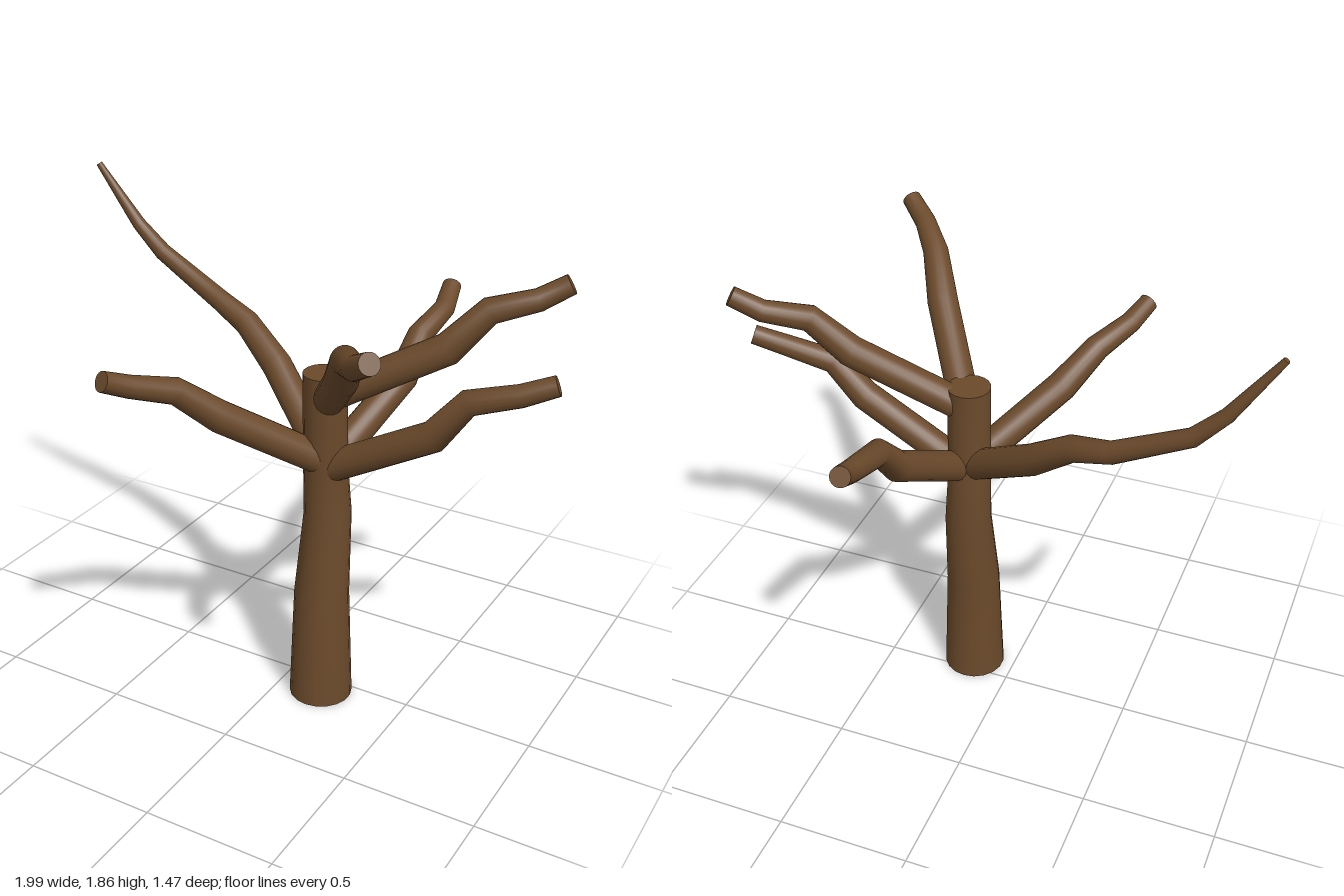
import * as THREE from 'three';

const SIDES = 18;
const bark = new THREE.MeshStandardMaterial({ color: 0x6b4a2b });

// Tapered limb through points [x, y, z, radius], with flat end caps.
function limb(name, points, level = false) {
  const centres = points.map((p) => new THREE.Vector3(p[0], p[1], p[2]));
  const last = points.length - 1;
  const pos = [];
  const index = [];
  const rings = [];
  const side = new THREE.Vector3(0, 0, 1);

  centres.forEach((c, i) => {
    // Each ring lies in the plane that halves the bend at its joint
    const before = c.clone().sub(centres[Math.max(i - 1, 0)]).normalize();
    const after = centres[Math.min(i + 1, last)].clone().sub(c).normalize();
    const dir = level ? new THREE.Vector3(0, 1, 0) : before.add(after).normalize();
    side.addScaledVector(dir, -side.dot(dir)).normalize();
    const up = dir.clone().cross(side);
    const ring = [];
    for (let s = 0; s < SIDES; s++) {
      const a = (s / SIDES) * Math.PI * 2;
      ring.push(c.clone()
        .addScaledVector(side, Math.cos(a) * points[i][3])
        .addScaledVector(up, Math.sin(a) * points[i][3]));
    }
    rings.push(ring);
    ring.forEach((v) => pos.push(v.x, v.y, v.z));
  });

  // Bark between rings
  for (let i = 0; i < last; i++) {
    for (let s = 0; s < SIDES; s++) {
      const t = (s + 1) % SIDES;
      const a = i * SIDES + s, b = i * SIDES + t;
      index.push(a, b, b + SIDES, a, b + SIDES, a + SIDES);
    }
  }

  // Caps have their own vertices, so their edges stay sharp
  [0, last].forEach((i) => {
    const base = pos.length / 3;
    [centres[i], ...rings[i]].forEach((v) => pos.push(v.x, v.y, v.z));
    for (let s = 0; s < SIDES; s++) {
      const a = base + 1 + s, b = base + 1 + ((s + 1) % SIDES);
      if (i === 0) index.push(base, b, a);
      else index.push(base, a, b);
    }
  });

  const geometry = new THREE.BufferGeometry();
  geometry.setAttribute('position', new THREE.Float32BufferAttribute(pos, 3));
  geometry.setIndex(index);
  geometry.computeVertexNormals();
  const mesh = new THREE.Mesh(geometry, bark);
  mesh.name = name;
  return mesh;
}

export function createModel() {
  const tree = new THREE.Group();
  tree.name = 'bareTree';

  // Trunk, gently swaying front to back
  tree.add(limb('trunk', [
    [0.165, 0, 0.07, 0.12], [0.165, 0.45, 0.07, 0.103], [0.165, 0.77, 0.03, 0.088],
    [0.165, 0.97, 0.05, 0.081], [0.165, 1.33, 0.06, 0.08],
  ], true));

  // Lower branches, fanning out from one fork
  tree.add(limb('longThinBranch', [
    [0.18, 0.98, 0.06, 0.058], [-0.15, 1.22, -0.14, 0.057], [-0.31, 1.34, -0.19, 0.048],
    [-0.46, 1.39, -0.235, 0.04], [-0.73, 1.53, -0.255, 0.033], [-0.83, 1.63, -0.245, 0.026],
    [-0.985, 1.85, -0.22, 0.012],
  ]));
  tree.add(limb('frontRightBranch', [
    [0.18, 0.98, 0.05, 0.058], [-0.09, 1.22, 0.35, 0.058], [-0.185, 1.34, 0.47, 0.048],
    [-0.27, 1.39, 0.61, 0.04], [-0.31, 1.435, 0.705, 0.036],
  ]));
  tree.add(limb('leftBranch', [
    [0.19, 0.97, 0.06, 0.058], [0.59, 1.19, 0.07, 0.057], [0.7, 1.33, 0.045, 0.047],
    [0.87, 1.38, 0.01, 0.04], [0.98, 1.425, -0.03, 0.036],
  ]));
  tree.add(limb('backBranch', [
    [0.18, 0.97, 0.07, 0.058], [0.285, 1.2, -0.315, 0.057], [0.295, 1.33, -0.43, 0.047],
    [0.305, 1.375, -0.62, 0.04], [0.285, 1.43, -0.725, 0.036],
  ]));

  // Upper branches, leaving below the sawn trunk top
  tree.add(limb('upperFrontBranch', [
    [0.2, 1.25, 0.09, 0.058], [0.395, 1.47, 0.37, 0.058], [0.475, 1.6, 0.5, 0.048],
    [0.575, 1.645, 0.635, 0.04], [0.66, 1.7, 0.7, 0.036],
  ]));
  tree.add(limb('upperLeftBranch', [
    [0.19, 1.25, 0.05, 0.058], [0.57, 1.46, -0.06, 0.058], [0.69, 1.6, -0.12, 0.048],
    [0.83, 1.64, -0.195, 0.04], [0.925, 1.7, -0.235, 0.036],
  ]));

  return tree;
}
